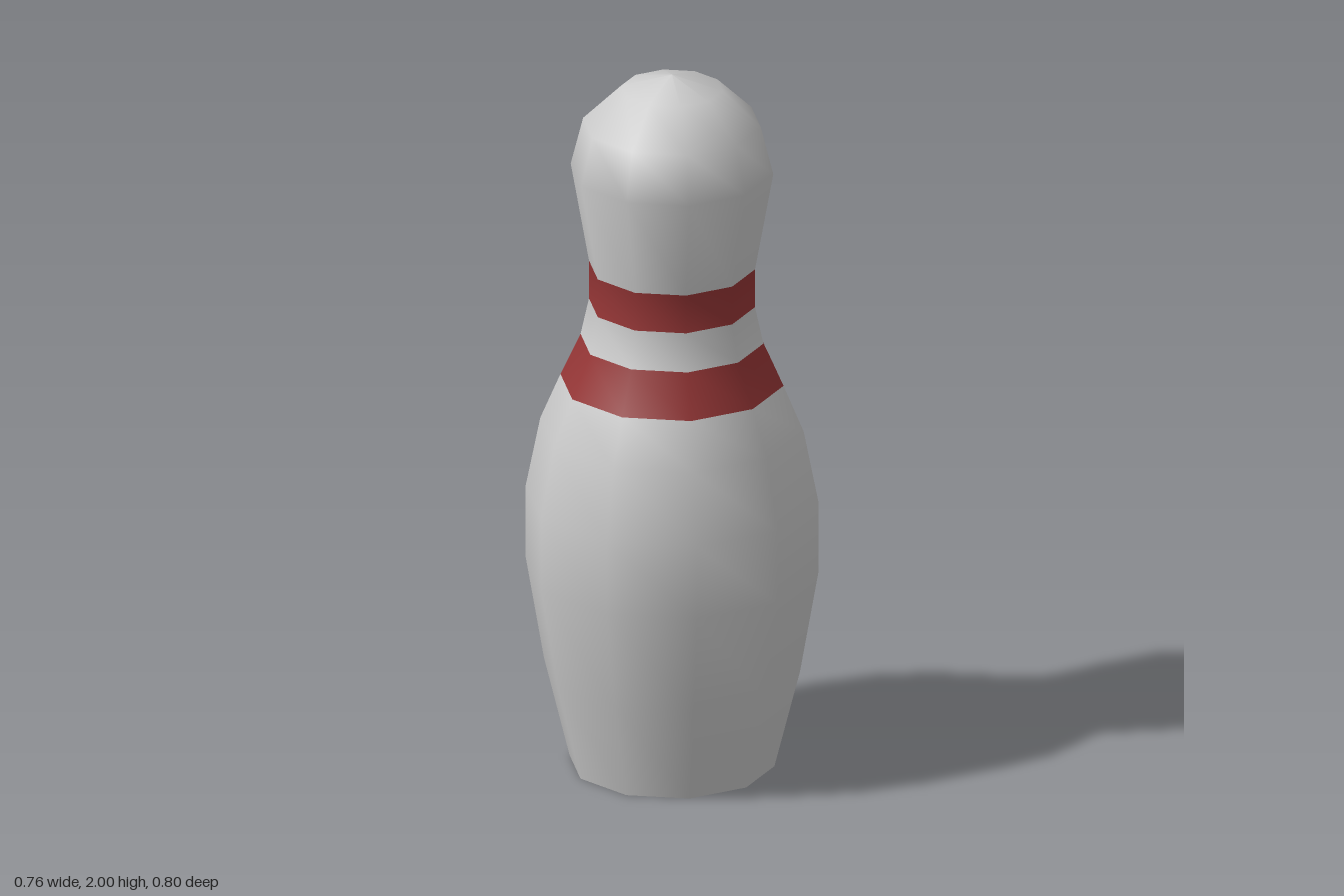
import * as THREE from 'three';

const SIDES = 10;

// Silhouette from base to crown: [radius, height]
const PROFILE = [
  [0.28, 0], [0.35, 0.28], [0.4, 0.57], [0.4, 0.78], [0.36, 0.98],
  [0.305, 1.11], [0.25, 1.23], [0.227, 1.335], [0.227, 1.445],
  [0.277, 1.725], [0.243, 1.86], [0.139, 1.96], [0, 2],
];

// Keep only the rings between two profile points, sharing the smooth normals of the whole
function ringSlice(lathe, from, to) {
  const rows = PROFILE.length - 1;
  const source = lathe.index.array;
  const index = [];
  for (let side = 0; side < SIDES; side++) {
    const start = side * rows;
    index.push(...source.slice((start + from) * 6, (start + to) * 6));
  }
  const geometry = lathe.clone();
  geometry.setIndex(index);
  return geometry;
}

export function createModel() {
  const group = new THREE.Group();
  group.name = 'bowlingPin';

  const white = new THREE.MeshStandardMaterial({ color: 0xcccccc });
  const red = new THREE.MeshStandardMaterial({ color: 0x963636 });

  const add = (name, geometry, material) => {
    const mesh = new THREE.Mesh(geometry, material);
    mesh.name = name;
    group.add(mesh);
  };

  const lathe = new THREE.LatheGeometry(PROFILE.map(([r, y]) => new THREE.Vector2(r, y)), SIDES);

  // Body, neck and head with the two stripes between them
  add('body', ringSlice(lathe, 0, 5), white);
  add('lowerStripe', ringSlice(lathe, 5, 6), red);
  add('neck', ringSlice(lathe, 6, 7), white);
  add('upperStripe', ringSlice(lathe, 7, 8), red);
  add('head', ringSlice(lathe, 8, 12), white);

  // Flat underside
  const base = new THREE.CircleGeometry(PROFILE[0][0], SIDES, Math.PI / 2);
  base.rotateX(Math.PI / 2);
  add('base', base, white);

  return group;
}
